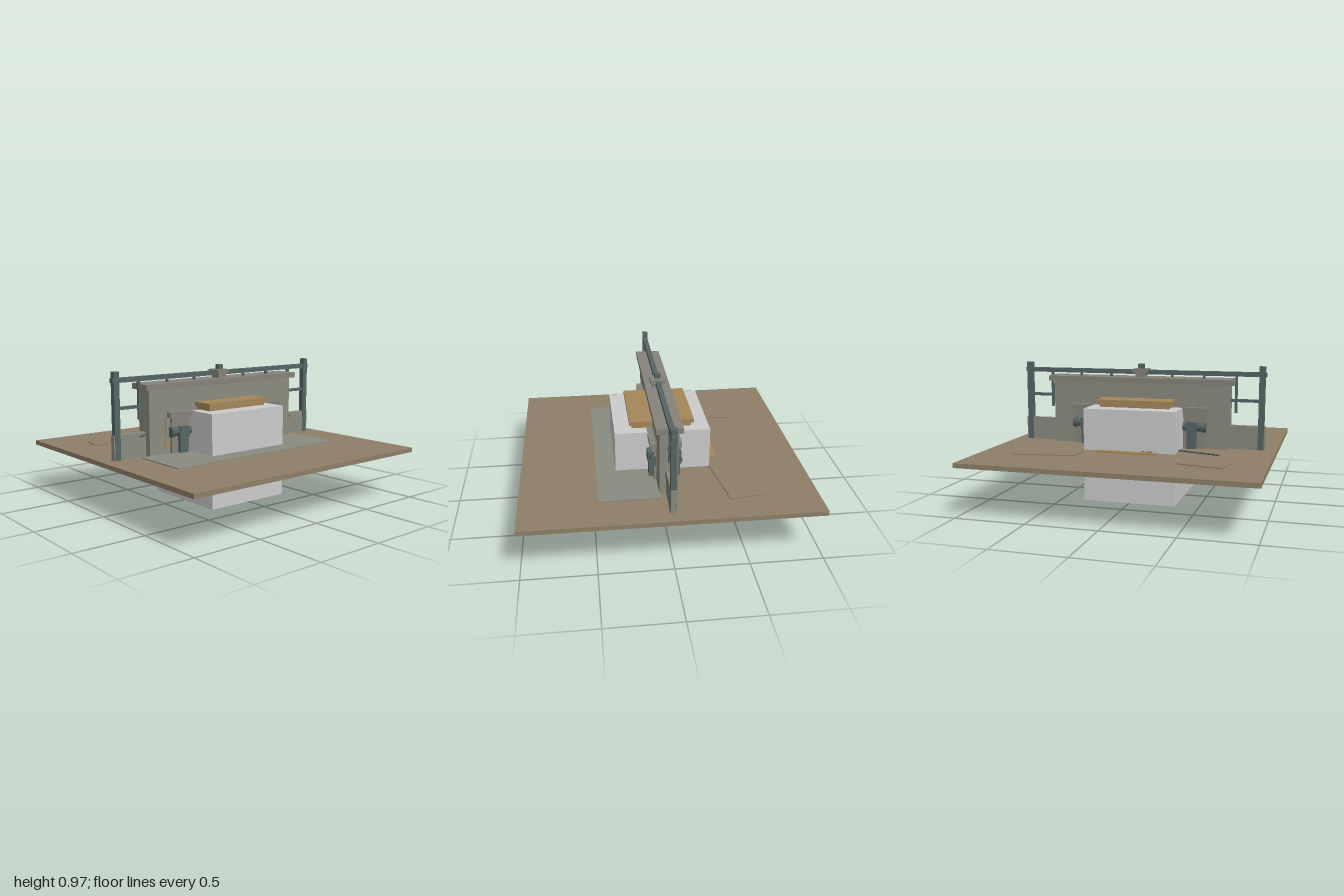
import * as THREE from 'three';

export function createModel() {
  const root = new THREE.Group();
  const mat = (name, color) => {
    const m = new THREE.MeshStandardMaterial({ color });
    m.name = name;
    return m;
  };
  const earth = mat('earth', 0x8f7f69);
  const wallStone = mat('wallStone', 0x8b8b7e);
  const trimStone = mat('trimStone', 0x85837b);
  const paving = mat('paving', 0x8a8c80);
  const steel = mat('steel', 0x566565);
  const wood = mat('wood', 0xa4875a);
  const plain = mat('plainGrey', 0xcccccc);

  // Box given by its minimum and maximum on each axis
  const box = (name, m, [x0, x1], [y0, y1], [z0, z1], parent = root) => {
    const mesh = new THREE.Mesh(new THREE.BoxGeometry(x1 - x0, y1 - y0, z1 - z0), m);
    mesh.position.set((x0 + x1) / 2, (y0 + y1) / 2, (z0 + z1) / 2);
    mesh.name = name;
    parent.add(mesh);
    return mesh;
  };
  const centred = (name, m, hx, y, hz) => box(name, m, [-hx, hx], y, [-hz, hz]);
  const mirrorX = (name, m, x, y, z) => {
    box(name + 'Left', m, x, y, z);
    box(name + 'Right', m, [-x[1], -x[0]], y, z);
  };
  const rod = (name, m, a, b, r) => {
    const p = new THREE.Vector3(...a), q = new THREE.Vector3(...b);
    const mesh = new THREE.Mesh(new THREE.CylinderGeometry(r, r, p.distanceTo(q), 8), m);
    mesh.position.copy(p).add(q).multiplyScalar(0.5);
    mesh.quaternion.setFromUnitVectors(new THREE.Vector3(0, 1, 0), q.sub(p).normalize());
    mesh.name = name;
    root.add(mesh);
  };

  // Ground slab, paving and central block
  const G = 0.372;
  centred('groundSlab', earth, 1, [0.34, G], 1);
  box('paving', paving, [-0.725, 0.725], [G, 0.379], [0.06, 0.473]);
  centred('centralBlock', plain, 0.334, [0, 0.668], 0.334);

  // Faint earth patches behind the wall
  [[-0.585, -0.585, 0.315, 0.17, -0.21], [0.545, -0.485, 0.46, 0.245, 0.15]].forEach(([x, z, w, d, r]) => {
    const patch = box('earthPatch', earth, [x - w / 2, x + w / 2], [G, 0.379], [z - d / 2, z + d / 2]);
    patch.rotation.y = r;
  });

  // Main wall with coping and low wings
  centred('mainWall', wallStone, 0.662, [G, 0.835], 0.063);
  centred('coping', trimStone, 0.697, [0.833, 0.872], 0.09);
  mirrorX('wingWall', wallStone, [0.66, 0.915], [G, 0.542], [-0.018, 0.018]);

  // Opening surround, the same on both faces
  centred('surroundPanel', wallStone, 0.533, [0.5, 0.687], 0.066);
  centred('lintel', trimStone, 0.52, [0.636, 0.67], 0.108);
  centred('lintelMoulding', trimStone, 0.495, [0.6, 0.637], 0.092);
  mirrorX('surroundPier', trimStone, [0.335, 0.49], [G, 0.6], [-0.08, 0.08]);

  // Roller bearings on short pedestals
  for (const s of [-1, 1]) {
    for (const f of [-1, 1]) {
      rod('roller', steel, [s * 0.3, 0.53, f * 0.078], [s * 0.48, 0.53, f * 0.078], 0.032);
      rod('rollerCollar', steel, [s * 0.475, 0.53, f * 0.078], [s * 0.503, 0.53, f * 0.078], 0.038);
      const z = f > 0 ? [0.06, 0.108] : [-0.108, -0.06];
      box('rollerPedestal', steel, s > 0 ? [0.365, 0.435] : [-0.435, -0.365], [G, 0.505], z);
      box('rollerStrap', steel, s > 0 ? [0.36, 0.44] : [-0.44, -0.36], [0.49, 0.565],
        f > 0 ? [0.07, 0.116] : [-0.116, -0.07]);
    }
    // Small bent hooks at the wall ends
    const hook = new THREE.CatmullRomCurve3([
      new THREE.Vector3(s * 0.655, 0.535, 0.018),
      new THREE.Vector3(s * 0.685, 0.52, 0.02),
      new THREE.Vector3(s * 0.715, 0.517, 0.02),
    ]);
    const hookMesh = new THREE.Mesh(new THREE.TubeGeometry(hook, 8, 0.008, 6), steel);
    hookMesh.name = 'wallHook';
    root.add(hookMesh);
  }

  // Steel gantry
  mirrorX('gantryPost', steel, [0.864, 0.906], [G, 0.967], [-0.02, 0.02]);
  centred('topRail', steel, 0.915, [0.893, 0.925], 0.017);
  mirrorX('midRail', steel, [0.65, 0.87], [0.71, 0.731], [-0.01, 0.01]);
  mirrorX('hangingRod', steel, [0.693, 0.711], [0.632, 0.895], [-0.009, 0.009]);
  for (const x of [0.232, 0.468]) mirrorX('railStud', steel, [x - 0.008, x + 0.008], [0.87, 0.895], [-0.009, 0.009]);

  // Central clamp on the rail
  centred('clampBase', trimStone, 0.036, [0.872, 0.908], 0.036);
  centred('clampPlate', trimStone, 0.055, [0.907, 0.933], 0.055);
  centred('clampPin', steel, 0.02, [0.93, 0.967], 0.02);

  // Timber cover, marker and loose pieces
  centred('coverBase', wood, 0.258, [0.668, 0.696], 0.21);
  centred('coverBoard', wood, 0.273, [0.695, 0.722], 0.227);
  box('wallMarker', wood, [-0.537, -0.497], [0.43, 0.472], [0.063, 0.072]);
  box('loosePlank', wood, [-0.213, 0.213], [G, 0.384], [-0.407, -0.364]);
  rod('looseRod', steel, [-0.637, 0.38, -0.31], [-0.31, 0.38, -0.213], 0.006);
  rod('shortRod', steel, [-0.17, 0.38, -0.33], [-0.1, 0.384, -0.364], 0.005);
  return root;
}
